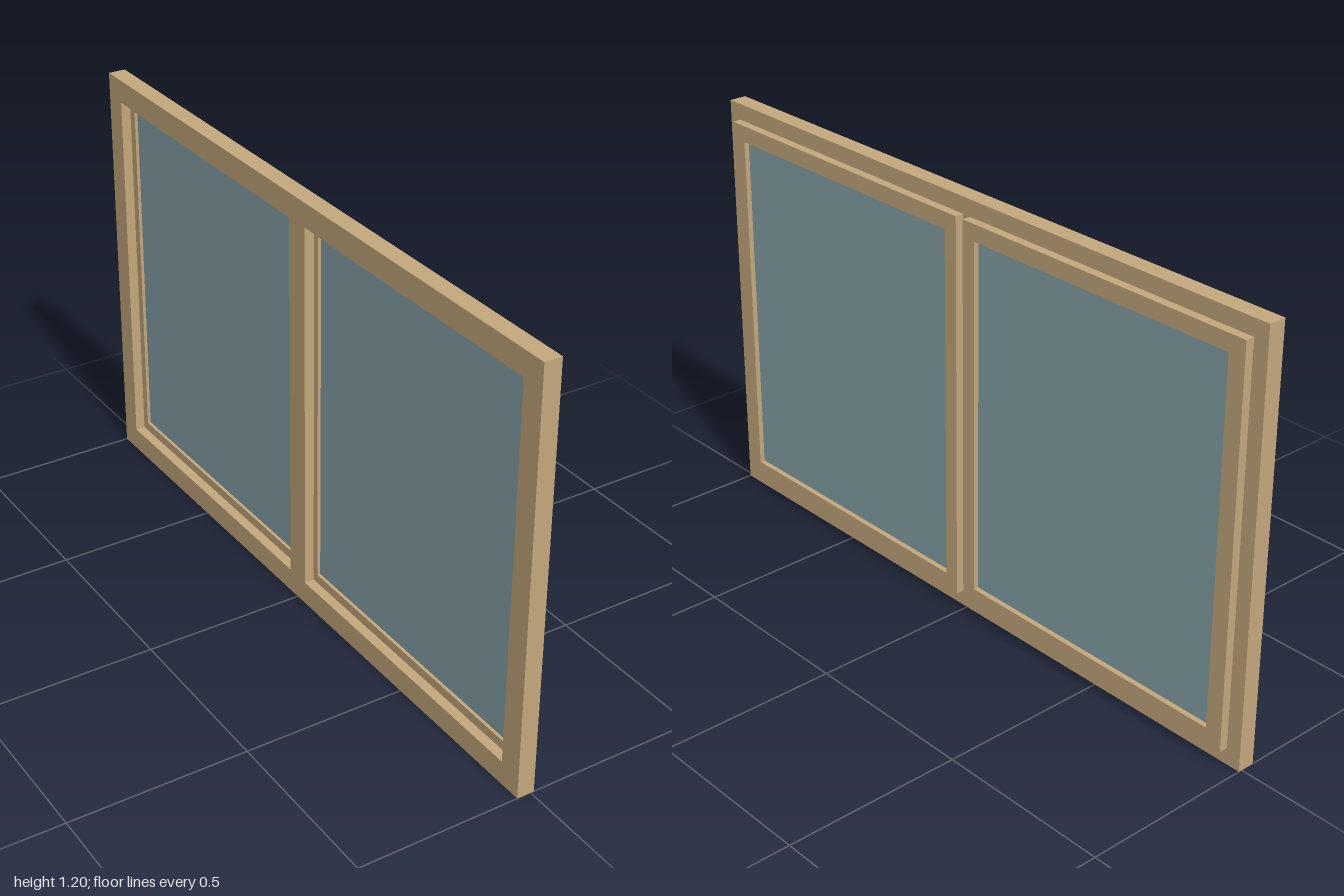
import * as THREE from 'three';

const wood = new THREE.MeshStandardMaterial({ color: 0xc4a87c });
const glass = new THREE.MeshStandardMaterial({ color: 0x86a4a8 });
const midY = 0.6;

// Rectangle outline centred on height midY, spanning u0..u1 along the window
function rect(Type, u0, u1, height) {
  const h = height / 2;
  const path = new Type();
  path.moveTo(u0, midY - h);
  path.lineTo(u1, midY - h);
  path.lineTo(u1, midY + h);
  path.lineTo(u0, midY + h);
  path.closePath();
  return path;
}

// Extrudes a shape drawn in the z-y plane from x0 to x1
function slab(name, shape, x0, x1, material) {
  const geometry = new THREE.ExtrudeGeometry(shape, { depth: x1 - x0, bevelEnabled: false });
  geometry.rotateY(Math.PI / 2);
  geometry.translate(x0, 0, 0);
  const mesh = new THREE.Mesh(geometry, material);
  mesh.name = name;
  return mesh;
}

export function createModel() {
  const model = new THREE.Group();
  model.name = 'doubleWindow';

  // Outer frame with a central mullion between two openings
  const frame = rect(THREE.Shape, -1, 1, 1.2);
  frame.holes.push(rect(THREE.Path, -0.933, -0.037, 1.066), rect(THREE.Path, 0.037, 0.933, 1.066));
  model.add(slab('outerFrame', frame, -0.04, 0.01, wood));

  // Two sashes, each carrying a recessed pane
  for (const side of [-1, 1]) {
    const sash = new THREE.Group();
    sash.name = side < 0 ? 'frontSash' : 'backSash';
    const span = (a, b) => (side > 0 ? [a, b] : [-b, -a]);
    const border = rect(THREE.Shape, ...span(0.013, 0.957), 1.107);
    border.holes.push(rect(THREE.Path, ...span(0.056, 0.908), 1.013));
    sash.add(slab('sashFrame', border, -0.012, 0.035, wood));
    sash.add(slab('glassPane', rect(THREE.Shape, ...span(0.056, 0.908), 1.013), -0.003, 0.02, glass));
    model.add(sash);
  }
  return model;
}
